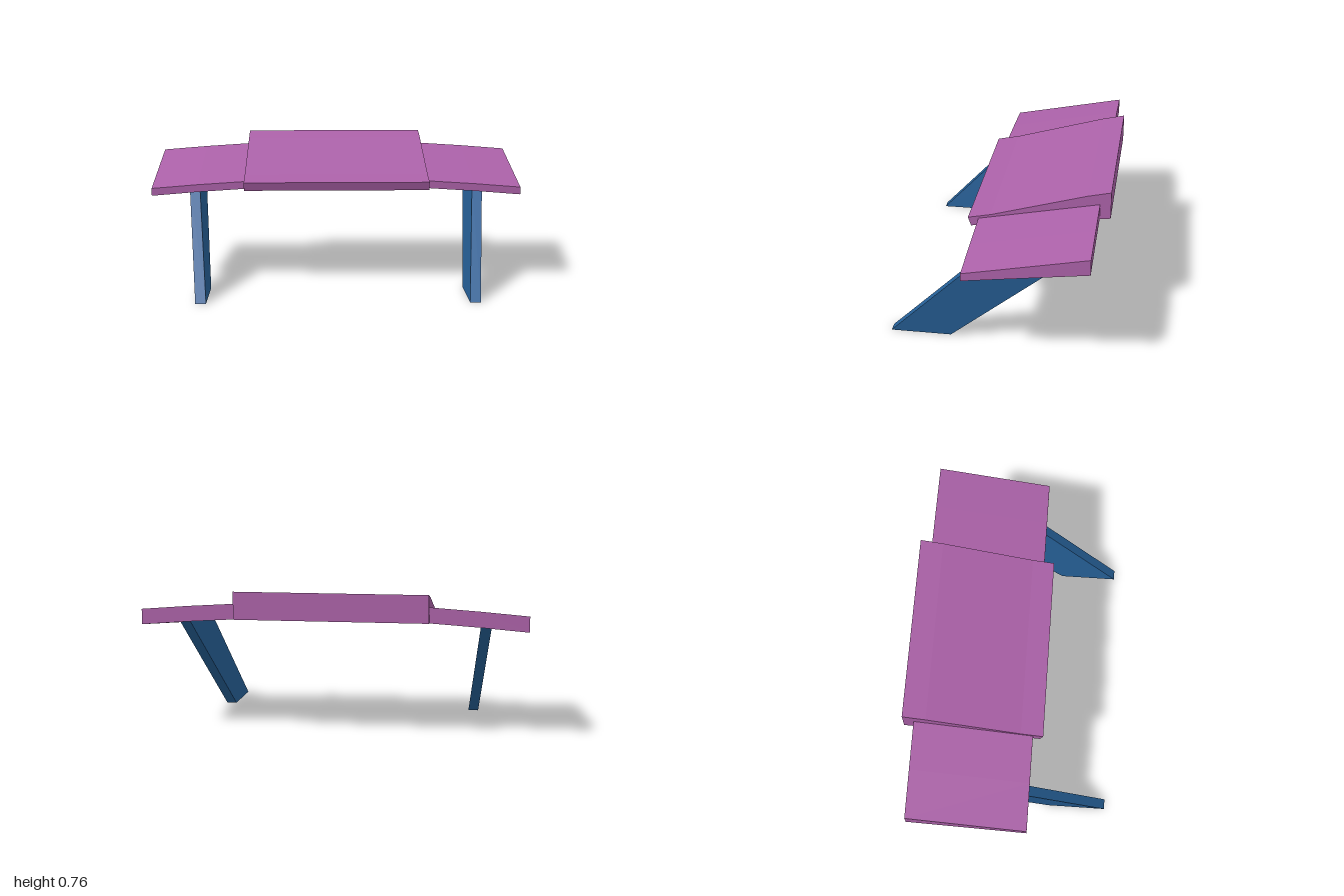
import * as THREE from 'three';

const purple = new THREE.MeshStandardMaterial({ color: 0xab61a8 });
purple.name = 'purple top';
const blue = new THREE.MeshStandardMaterial({ color: 0x265f96 });
blue.name = 'blue legs';

// Closed solid through matching loops of [x, y, z], ordered by rising x.
// Each loop runs counter-clockwise as seen from +x.
function loft(name, loops, material) {
  const pos = [];
  const tri = (a, b, c) => pos.push(...a, ...b, ...c);
  const n = loops[0].length;
  const first = loops[0], last = loops[loops.length - 1];
  for (let s = 0; s < loops.length - 1; s++) {
    for (let i = 0; i < n; i++) {
      const j = (i + 1) % n, lo = loops[s], hi = loops[s + 1];
      tri(lo[i], lo[j], hi[j]);
      tri(lo[i], hi[j], hi[i]);
    }
  }
  for (let i = 1; i < n - 1; i++) {
    tri(first[0], first[i + 1], first[i]);
    tri(last[0], last[i], last[i + 1]);
  }
  const geometry = new THREE.BufferGeometry();
  geometry.setAttribute('position', new THREE.Float32BufferAttribute(pos, 3));
  geometry.computeVertexNormals();
  const mesh = new THREE.Mesh(geometry, material);
  mesh.name = name;
  return mesh;
}

// Mirrors loops to the chosen side, keeping them ordered by rising x
function toSide(loops, side) {
  if (side > 0) return loops;
  return loops.map((loop) => loop.map(([x, y, z]) => [-x, y, z])).reverse();
}

export function createModel() {
  const model = new THREE.Group();
  model.name = 'table';

  // Raised centre slab, profile as [z, y]
  const centre = [
    [0.162, 0.52], [-0.55, 0.613], [-0.55, 0.757],
    [-0.43, 0.73], [0.06, 0.59], [0.178, 0.566],
  ];
  model.add(loft('centreTop', [-0.5, 0.5].map((x) => centre.map(([z, y]) => [x, y, z])), purple));

  // Side wings, drooping in two steps towards their ends
  const wing = [[0.124, 0.524], [-0.495, 0.607], [-0.495, 0.688], [0.124, 0.564]];
  const wingLoops = [[0.5, 0], [0.75, 0.016], [1, 0.036]]
    .map(([x, drop]) => wing.map(([z, y]) => [x, y - drop, z]));

  // Slanting legs, leaning outwards with height and set into the wings
  const leg = [[0.548, 0], [0.235, 0], [-0.455, 0.595], [0.027, 0.53]];
  const legLoops = [0.68, 0.735].map((x) => leg.map(([z, y]) => [x + 0.13 * y, y, z]));

  for (const [side, label] of [[1, 'left'], [-1, 'right']]) {
    model.add(loft(label + 'Wing', toSide(wingLoops, side), purple));
    model.add(loft(label + 'Leg', toSide(legLoops, side), blue));
  }
  return model;
}
